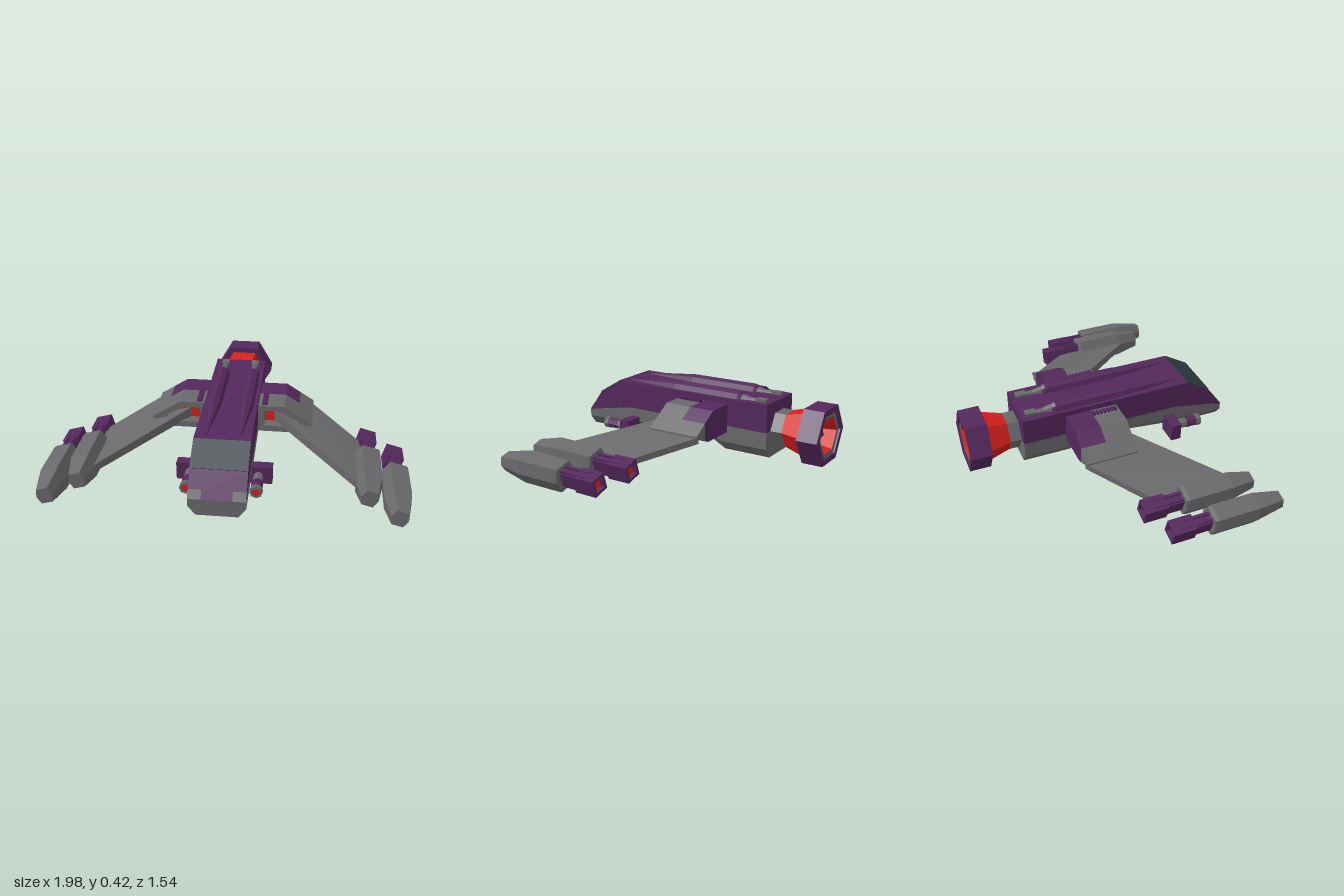
import * as THREE from 'three';

const mat = (color) => new THREE.MeshStandardMaterial({ color, flatShading: true, side: THREE.DoubleSide });
const GREY = mat(0x69696c), PURPLE = mat(0x54285c), RED = mat(0xd81e1e), GLASS = mat(0x2f3a42);

function add(parent, name, geometry, material, x = 0, y = 0, z = 0) {
  const mesh = new THREE.Mesh(geometry, material);
  mesh.name = name;
  mesh.position.set(x, y, z);
  parent.add(mesh);
  return mesh;
}
const box = (w, h, d) => new THREE.BoxGeometry(w, h, d);

// Skin matching loops of [x, y, z] points and cap both ends
function loft(rings) {
  const n = rings[0].length, index = [];
  for (let i = 0; i < rings.length - 1; i++) {
    for (let j = 0; j < n; j++) {
      const k = (j + 1) % n, a = i * n + j, b = i * n + k;
      index.push(a, b, b + n, a, b + n, a + n);
    }
  }
  const end = (rings.length - 1) * n;
  for (let j = 1; j < n - 1; j++) index.push(0, j + 1, j, end, end + j, end + j + 1);
  const g = new THREE.BufferGeometry();
  g.setAttribute('position', new THREE.Float32BufferAttribute(rings.flat(2), 3));
  g.setIndex(index);
  g.computeVertexNormals();
  return g;
}

// Extrude an outline of [x, y] points from z0 to z1, with an optional hole
function prism(points, z0, z1, hole) {
  const vec = (list) => list.map((p) => new THREE.Vector2(...p));
  const shape = new THREE.Shape(vec(points));
  if (hole) shape.holes.push(new THREE.Path(vec(hole)));
  return new THREE.ExtrudeGeometry(shape, { depth: z1 - z0, bevelEnabled: false }).translate(0, 0, z0);
}

// Faceted turned part along z, from [z, radius] points
function turned(points, sides) {
  const profile = points.map(([z, r]) => new THREE.Vector2(r, z));
  return new THREE.LatheGeometry(profile, sides, Math.PI / 2).rotateX(Math.PI / 2);
}

function buildHull(model) {
  // Upper hull: side profile extruded across x
  const profile = [[-0.77, 0.175], [-0.7, 0.19], [-0.46, 0.235], [0.46, 0.235], [0.46, 0.39], [-0.53, 0.39], [-0.68, 0.3]];
  add(model, 'upperHull', prism(profile, -0.15, 0.15).rotateY(Math.PI / 2), PURPLE);
  // Belly: chamfered sections of z, top, chamfer and bottom heights
  const belly = [
    [-0.46, 0.235, 0.14, 0.085], [-0.18, 0.235, 0.14, 0.085], [-0.06, 0.235, 0.19, 0.15],
    [0.46, 0.235, 0.15, 0.095], [0.6, 0.208, 0.14, 0.082], [0.77, 0.175, 0.135, 0.082],
  ].map(([z, top, mid, low]) => [[0.11, low, z], [0.15, mid, z], [0.15, top, z], [-0.15, top, z], [-0.15, mid, z], [-0.11, low, z]]);
  add(model, 'belly', loft(belly), GREY);
  const glass = add(model, 'windshield', box(0.296, 0.008, 0.172), GLASS, 0, 0.345, 0.605);
  glass.rotation.x = Math.atan2(0.09, 0.15);
  for (const s of [-1, 1]) {
    const plate = add(model, 'nosePlate', box(0.07, 0.006, 0.05), GREY, s * 0.115, 0.196, 0.755);
    plate.rotation.x = Math.atan2(0.125, 0.09);
  }
}

function buildMainEngine(model) {
  const engine = new THREE.Group();
  engine.name = 'mainEngine';
  engine.position.y = 0.235;
  add(engine, 'engineNeck', turned([[-0.525, 0.105], [-0.45, 0.105]], 6), GREY);
  add(engine, 'engineCone', turned([[-0.65, 0.142], [-0.525, 0.105]], 6), RED);
  add(engine, 'engineRing', turned([[-0.75, 0.138], [-0.765, 0.138], [-0.765, 0.175], [-0.645, 0.175], [-0.645, 0.135]], 6), PURPLE);
  add(engine, 'engineLip', turned([[-0.755, 0.108], [-0.755, 0.14]], 6), GREY);
  add(engine, 'engineThroat', turned([[-0.6, 0], [-0.6, 0.07], [-0.755, 0.108]], 6), RED);
  add(engine, 'engineSpike', turned([[-0.73, 0], [-0.71, 0.025], [-0.6, 0.035]], 6), PURPLE);
  model.add(engine);
}

// A tilted wingtip pod with a square jet behind it
function buildPod(parent, x, y, back, shoulder, front, jetBack) {
  const pod = new THREE.Group();
  pod.name = 'wingtipPod';
  pod.position.set(x, y, 0);
  pod.rotation.z = -0.27;
  const ring = (z, s) => [[0.05, -0.07], [0.074, 0], [0.05, 0.07], [-0.05, 0.07], [-0.074, 0], [-0.05, -0.07]]
    .map(([px, py]) => [px * s, py * s, z]);
  add(pod, 'podShell', loft([ring(back, 0.94), ring(back + 0.02, 1), ring(shoulder, 1), ring(front, 0.62)]), GREY);
  const square = (r) => [[-r, -r], [r, -r], [r, r], [-r, r]];
  add(pod, 'jetNozzle', prism(square(0.046), jetBack, jetBack + 0.13, square(0.032)), PURPLE);
  add(pod, 'jetGlow', box(0.066, 0.066, 0.01), RED, 0, 0, jetBack + 0.03);
  add(pod, 'jetBody', box(0.07, 0.078, back - jetBack - 0.1), PURPLE, 0, 0, (back + jetBack + 0.13) / 2);
  for (const s of [-1, 1]) {
    add(pod, 'jetRib', box(0.014, 0.1, back - jetBack - 0.06), PURPLE, s * 0.02, 0, (back + jetBack + 0.06) / 2);
  }
  parent.add(pod);
}

// Everything that repeats on both sides, built for +x
function buildSide(side) {
  // Shoulder with an open intake in front
  const outline = [[0.13, 0.2], [0.35, 0.2], [0.46, 0.25], [0.46, 0.258], [0.3, 0.36], [0.13, 0.36]];
  const intake = [[0.185, 0.235], [0.34, 0.235], [0.385, 0.27], [0.27, 0.33], [0.185, 0.33]];
  add(side, 'shoulderFront', prism(outline, -0.07, 0.085, intake), GREY);
  add(side, 'intakeBack', prism(intake, -0.07, 0.02), RED);
  add(side, 'shoulderRear', prism([[0.13, 0.2], [0.35, 0.2], [0.38, 0.214], [0.38, 0.309], [0.3, 0.36], [0.13, 0.36]], -0.215, -0.07), PURPLE);
  add(side, 'shoulderTip', prism([[0.38, 0.214], [0.46, 0.25], [0.46, 0.258], [0.38, 0.309]], -0.215, -0.07), GREY);

  // Forward-swept wing, from root to tip
  add(side, 'wing', loft([
    [[0.24, 0.24, 0.022], [0.44, 0.215, -0.213], [0.44, 0.25, -0.213], [0.24, 0.298, 0.022]],
    [[0.72, 0.115, 0.51], [0.74, 0.115, 0.07], [0.74, 0.15, 0.07], [0.72, 0.158, 0.51]],
  ]), GREY);
  buildPod(side, 0.77, 0.133, 0.195, 0.47, 0.61, -0.03);
  buildPod(side, 0.92, 0.09, 0.285, 0.545, 0.705, 0.06);

  // Vent slats beside the spine
  for (let i = 0; i < 7; i++) add(side, 'ventSlat', box(0.03, 0.018, 0.014), PURPLE, 0.187, 0.364, -0.063 + i * 0.021);

  // Tapered tube on the back
  add(side, 'dorsalTube', turned([[-0.28, 0], [-0.28, 0.03], [-0.26, 0.04], [0.15, 0.04], [0.48, 0.006], [0.48, 0]], 8), PURPLE, 0.09, 0.39);
  add(side, 'dorsalNozzle', turned([[-0.37, 0.015], [-0.33, 0.017], [-0.27, 0.03]], 8), GREY, 0.09, 0.388);
  add(side, 'dorsalEndBlock', box(0.042, 0.03, 0.06), GREY, 0.09, 0.39, -0.4);

  // Chin gun
  add(side, 'gunMount', box(0.12, 0.1, 0.06), PURPLE, 0.2, 0.135, 0.425);
  add(side, 'gunCollar', turned([[0.45, 0.028], [0.525, 0.028]], 8), GREY, 0.185, 0.13);
  add(side, 'gunBarrel', turned([[0.52, 0], [0.52, 0.031], [0.585, 0.031]], 8), PURPLE, 0.185, 0.13);
  add(side, 'gunMuzzle', turned([[0.582, 0], [0.582, 0.035], [0.61, 0.035], [0.61, 0.022]], 8), GREY, 0.185, 0.13);
  add(side, 'gunBore', turned([[0.608, 0.023], [0.608, 0]], 8), RED, 0.185, 0.13);
}

export function createModel() {
  const model = new THREE.Group();
  model.name = 'spaceship';
  buildHull(model);
  buildMainEngine(model);
  for (const [name, s] of [['leftSide', 1], ['rightSide', -1]]) {
    const side = new THREE.Group();
    side.name = name;
    side.scale.x = s;
    buildSide(side);
    model.add(side);
  }
  return model;
}
